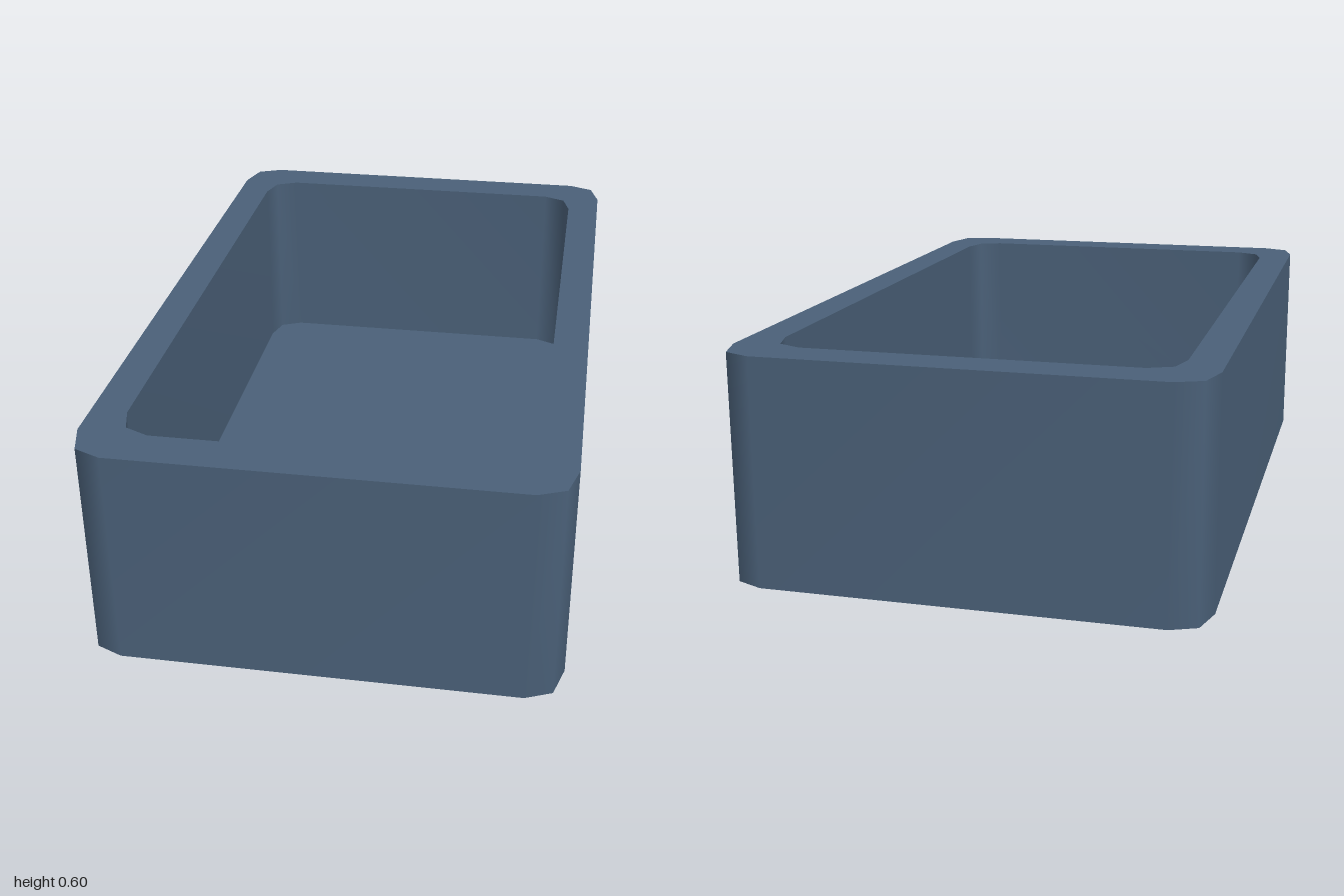
import * as THREE from 'three';

const HEIGHT = 0.6;
const FLOOR = 0.05;

// Counter-clockwise rectangle outline with two-facet corners, from one corner's three points
function outline(corner) {
  const back = [...corner].reverse();
  return [
    ...corner,
    ...back.map(([x, y]) => [-x, y]),
    ...corner.map(([x, y]) => [-x, -y]),
    ...back.map(([x, y]) => [x, -y]),
  ].map(([x, y]) => new THREE.Vector2(x, y));
}

// Smooth upright band along an outline, facing outward or inward
function band(points, y0, y1, inward) {
  const n = points.length;
  const positions = [];
  const index = [];
  points.forEach((p, i) => {
    positions.push(p.x, y0, -p.y, p.x, y1, -p.y);
    const a = 2 * i, b = 2 * ((i + 1) % n);
    if (inward) index.push(a, b + 1, b, a, a + 1, b + 1);
    else index.push(a, b, b + 1, a, b + 1, a + 1);
  });
  const geometry = new THREE.BufferGeometry();
  geometry.setAttribute('position', new THREE.Float32BufferAttribute(positions, 3));
  geometry.setIndex(index);
  geometry.computeVertexNormals();
  return geometry;
}

// Flat horizontal face, optionally with a hole
function plate(points, y, facing, hole) {
  const shape = new THREE.Shape(points);
  if (hole) shape.holes.push(new THREE.Path(hole));
  return new THREE.ShapeGeometry(shape).rotateX(-facing * Math.PI / 2).translate(0, y, 0);
}

export function createModel() {
  const slate = new THREE.MeshStandardMaterial({ color: 0x4a6078 });
  slate.name = 'slate blue';

  const outer = outline([[0.615, 0.88], [0.59, 0.97], [0.52, 1]]);
  const inner = outline([[0.52, 0.78], [0.5, 0.853], [0.437, 0.882]]);

  const tray = new THREE.Group();
  tray.name = 'tray';
  const add = (name, geometry) => {
    const mesh = new THREE.Mesh(geometry, slate);
    mesh.name = name;
    tray.add(mesh);
  };

  add('outerWall', band(outer, 0, HEIGHT, false));
  add('innerWall', band(inner, FLOOR, HEIGHT, true));
  add('rim', plate(outer, HEIGHT, 1, inner));
  add('floor', plate(inner, FLOOR, 1));
  add('base', plate(outer, 0, -1));
  return tray;
}
